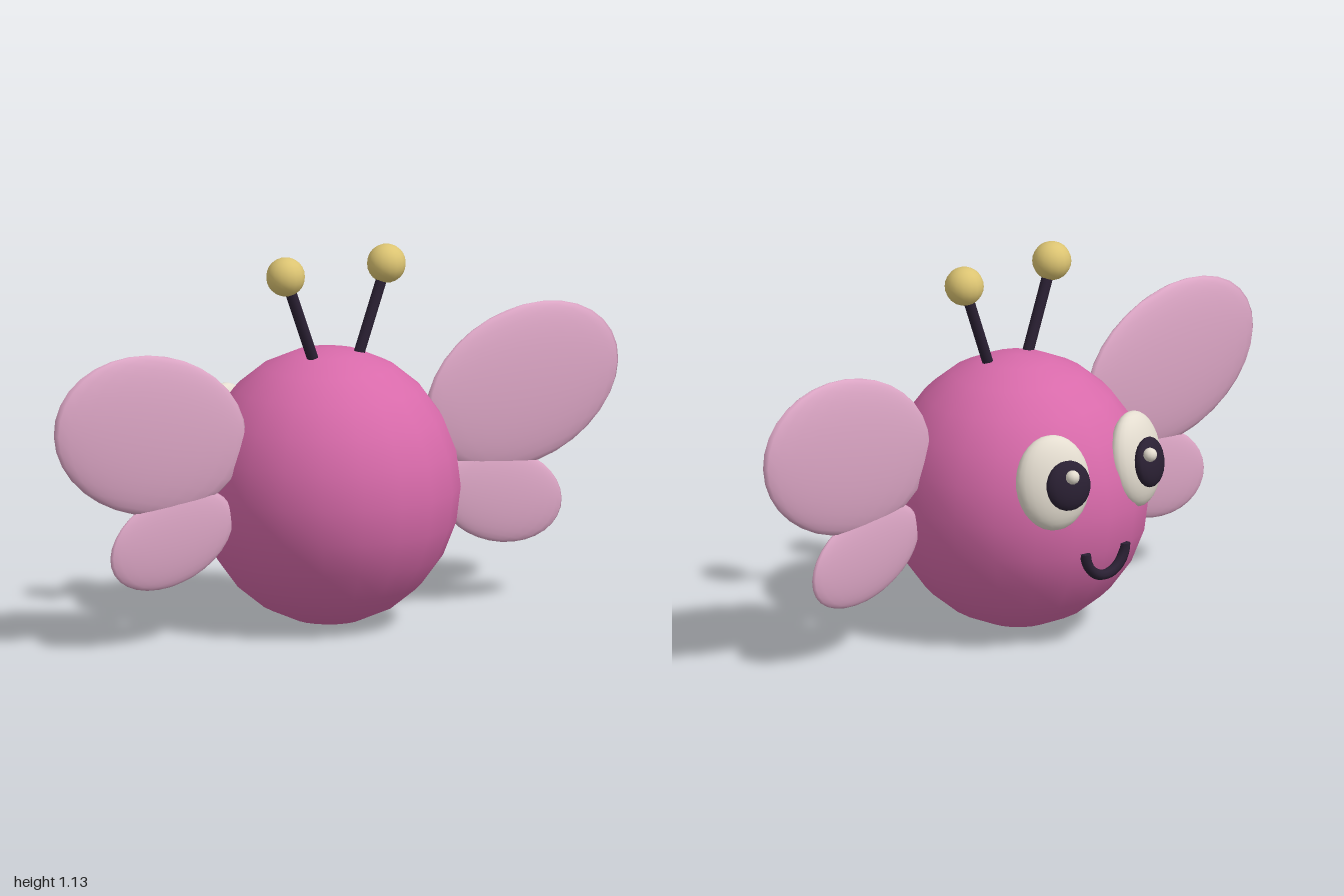
import * as THREE from 'three';

const material = (name, color) => {
  const m = new THREE.MeshStandardMaterial({ color });
  m.name = name;
  return m;
};

export function createModel() {
  const model = new THREE.Group();
  const pink = material('bodyPink', 0xd86aaa);
  const palePink = material('wingPink', 0xdba5c4);
  const cream = material('eyeCream', 0xe4ddd0);
  const dark = material('darkPlum', 0x2a2033);
  const gold = material('gold', 0xdcc472);
  const deg = THREE.MathUtils.degToRad;

  const add = (name, geometry, mat, position, rotation = [0, 0, 0]) => {
    const mesh = new THREE.Mesh(geometry, mat);
    mesh.name = name;
    mesh.position.set(...position);
    mesh.rotation.set(...rotation.map(deg));
    model.add(mesh);
    return mesh;
  };
  const ellipsoid = (rx, ry, rz, w = 24, h = 16) =>
    new THREE.SphereGeometry(1, w, h).scale(rx, ry, rz);

  // Round body
  add('body', ellipsoid(0.39, 0.414, 0.395, 20, 12), pink, [0, 0.415, 0.025]);

  // Smile: lower half of a ring, with closed ends
  const smile = [0, 0.315, -0.35];
  add('mouth', new THREE.TorusGeometry(0.08, 0.016, 8, 16, Math.PI), dark, smile, [0, 0, 180]);

  for (const s of [1, -1]) {
    const side = s > 0 ? 'left' : 'right';

    add(side + 'MouthEnd', new THREE.CircleGeometry(0.016, 8), dark,
      [s * 0.08, smile[1], smile[2]], [-90, 0, 0]);

    // Wings: flat tilted ellipsoids
    add(side + 'UpperWing', ellipsoid(0.345, 0.238, 0.04), palePink,
      [s * 0.657, 0.647, 0.067], [0, 0, s * 14]);
    add(side + 'LowerWing', ellipsoid(0.222, 0.139, 0.027), palePink,
      [s * 0.58, 0.325, 0.067], [0, 0, s * -16]);

    // Eyes: both highlights sit toward the same side
    const tilt = [9, s * -17, 0];
    add(side + 'Eye', ellipsoid(0.118, 0.143, 0.056), cream, [s * 0.168, 0.545, -0.302], tilt);
    add(side + 'Pupil', ellipsoid(0.072, 0.075, 0.03, 16, 12), dark,
      [s * 0.165, 0.55, -0.366], tilt);
    add(side + 'EyeHighlight', ellipsoid(0.021, 0.021, 0.021, 12, 8), cream,
      [s * 0.1575 + 0.0225, 0.587, -0.4]);

    // Antenna: slanted stalk with a ball tip
    const base = new THREE.Vector3(s * 0.068, 0.775, 0.067);
    const tip = new THREE.Vector3(s * 0.178, 1.07, 0.067);
    const axis = tip.clone().sub(base);
    const stalk = add(side + 'AntennaStalk',
      new THREE.CylinderGeometry(0.017, 0.017, axis.length(), 10), dark,
      base.clone().add(tip).multiplyScalar(0.5).toArray());
    stalk.quaternion.setFromUnitVectors(new THREE.Vector3(0, 1, 0), axis.normalize());
    add(side + 'AntennaTip', ellipsoid(0.058, 0.058, 0.058, 16, 12), gold, tip.toArray());
  }

  return model;
}
